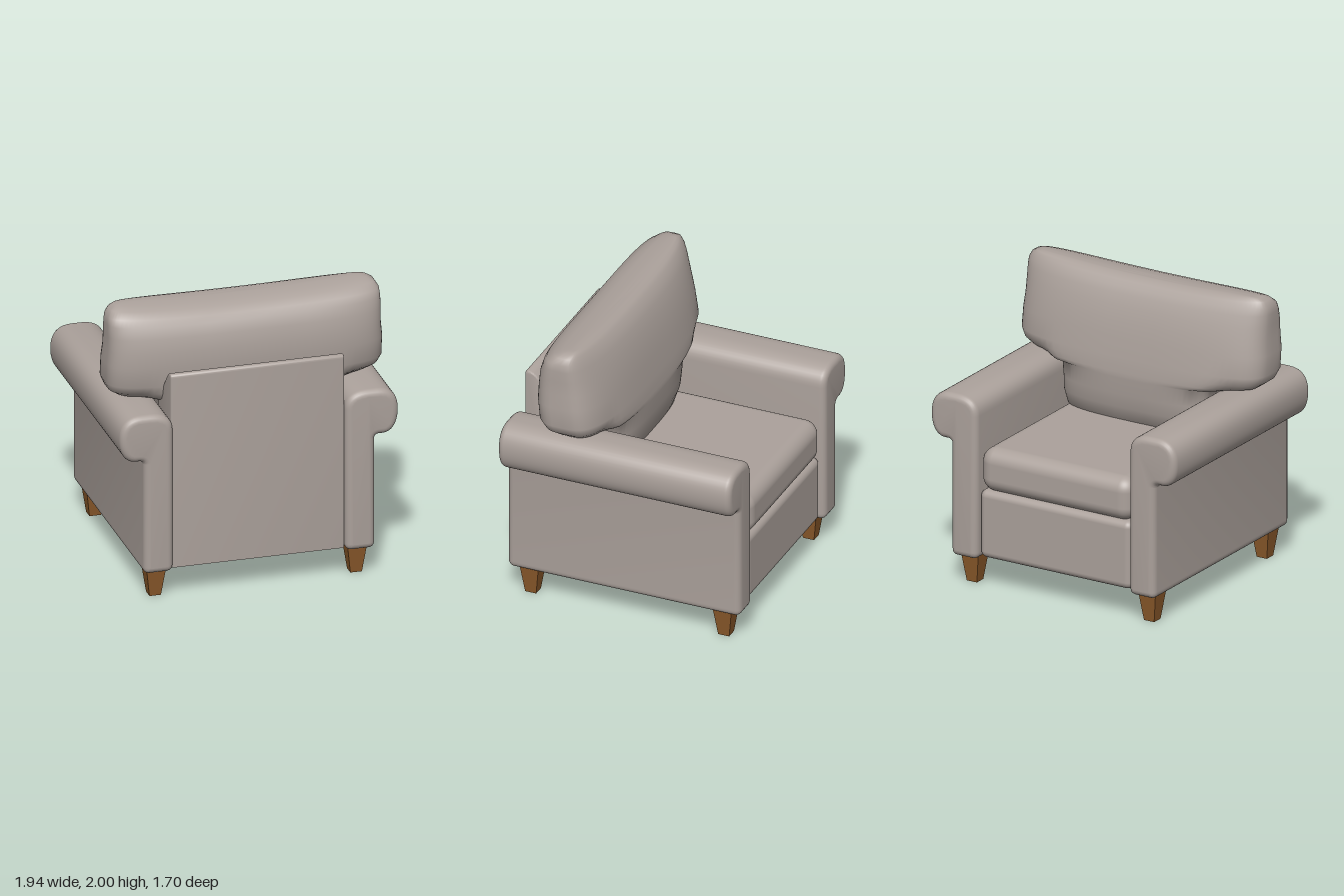
import * as THREE from 'three';
import { toCreasedNormals } from 'three/addons/utils/BufferGeometryUtils.js';
import { RoundedBoxGeometry } from 'three/addons/geometries/RoundedBoxGeometry.js';

const fabric = new THREE.MeshStandardMaterial({ color: 0xaba19b });
fabric.name = 'taupe fabric';
const wood = new THREE.MeshStandardMaterial({ color: 0x8b5a2b, flatShading: true });
wood.name = 'brown wood';

function addMesh(parent, name, geometry, material) {
  const mesh = new THREE.Mesh(geometry, material);
  mesh.name = name;
  parent.add(mesh);
  return mesh;
}

// Extrusion with a rounded rim that stays inside the outline, centred on its depth
function padded(shape, length, bevel, segments) {
  const geo = new THREE.ExtrudeGeometry(shape, {
    depth: length - 2 * bevel, bevelThickness: bevel, bevelSize: bevel,
    bevelOffset: -bevel, bevelSegments: segments, curveSegments: 10,
  });
  geo.translate(0, 0, -(length - 2 * bevel) / 2);
  return toCreasedNormals(geo, 0.75);
}

// Upright arm with an outward roll; s is the side
function armShape(s) {
  const p = new THREE.Shape();
  p.moveTo(s * 0.65, 0.2);
  p.lineTo(s * 0.76, 0.2);
  p.quadraticCurveTo(s * 0.805, 0.2, s * 0.805, 0.25);
  p.lineTo(s * 0.805, 0.99);
  p.quadraticCurveTo(s * 0.805, 1.02, s * 0.835, 1.02);
  p.lineTo(s * 0.87, 1.02);
  p.bezierCurveTo(s * 0.94, 1.03, s * 0.97, 1.1, s * 0.97, 1.19);
  p.bezierCurveTo(s * 0.97, 1.29, s * 0.92, 1.35, s * 0.82, 1.35);
  p.lineTo(s * 0.76, 1.35);
  p.bezierCurveTo(s * 0.66, 1.35, s * 0.6, 1.31, s * 0.6, 1.22);
  p.lineTo(s * 0.6, 0.25);
  p.quadraticCurveTo(s * 0.6, 0.2, s * 0.65, 0.2);
  return p;
}

// T-shaped back cushion lofted upward from rounded sections
function backCushionGeometry() {
  // y, half width, front z, rear z
  const rows = [
    [0.95, 0, 0.3, 0.3], [0.95, 0.5, 0.2, 0.45], [1.0, 0.58, 0.14, 0.5], [1.1, 0.6, 0.105, 0.53],
    [1.2, 0.6, 0.09, 0.55], [1.32, 0.61, 0.08, 0.58], [1.335, 0.78, 0.08, 0.6],
    [1.36, 0.88, 0.08, 0.62], [1.4, 0.935, 0.085, 0.635], [1.46, 0.96, 0.09, 0.65],
    [1.6, 0.96, 0.115, 0.66], [1.7, 0.95, 0.135, 0.655], [1.8, 0.95, 0.165, 0.64],
    [1.88, 0.95, 0.195, 0.61], [1.93, 0.945, 0.22, 0.58], [1.97, 0.92, 0.25, 0.52],
    [1.99, 0.88, 0.275, 0.46], [2.0, 0.83, 0.31, 0.39], [2.0, 0.45, 0.325, 0.37], [2.0, 0, 0.35, 0.35],
  ];
  const n = 72, pos = [], index = [];
  for (const [y, w, zf, zb] of rows) {
    const mid = (zf + zb) / 2;
    for (let i = 0; i < n; i++) {
      const a = (i / n) * Math.PI * 2, c = Math.cos(a), s = Math.sin(a);
      const e = s < 0 ? 2 / 3 : 0.5;
      const x = w * Math.sign(c) * Math.abs(c) ** e;
      let z = mid + ((zb - zf) / 2) * Math.sign(s) * Math.abs(s) ** e;
      // Thin the underside of the wings so they round off above the arms
      const wing = THREE.MathUtils.smoothstep(Math.abs(x), 0.58, 0.74);
      const rise = THREE.MathUtils.clamp((y - 1.33) / 0.15, 0, 1);
      const round = Math.sqrt(1 - (1 - rise) ** 2);
      z = mid + (z - mid) * (1 - wing * (1 - round) * 0.55);
      // Slight sag along the top edge
      const sag = 0.022 * THREE.MathUtils.smoothstep(y, 1.8, 2) * (1 - Math.min(1, (x / 0.88) ** 2));
      pos.push(x, y - sag, z);
    }
  }
  for (let r = 0; r < rows.length - 1; r++) {
    for (let i = 0; i < n; i++) {
      const a = r * n + i, b = r * n + ((i + 1) % n), d = a + n, c = b + n;
      index.push(a, d, b, d, c, b);
    }
  }
  const geo = new THREE.BufferGeometry();
  geo.setAttribute('position', new THREE.Float32BufferAttribute(pos, 3));
  geo.setIndex(index);
  geo.computeVertexNormals();
  return geo;
}

export function createModel() {
  const chair = new THREE.Group();
  chair.name = 'armchair';

  // Rolled arms
  for (const s of [-1, 1]) {
    addMesh(chair, s > 0 ? 'leftArm' : 'rightArm', padded(armShape(s), 1.7, 0.045, 5), fabric);
  }

  // Wedge-topped back panel, drawn with z running to the left
  const wedge = new THREE.Shape();
  wedge.moveTo(-0.81, 0.215);
  wedge.lineTo(-0.81, 1.59);
  wedge.quadraticCurveTo(-0.81, 1.615, -0.785, 1.615);
  wedge.quadraticCurveTo(-0.745, 1.61, -0.71, 1.57);
  wedge.lineTo(-0.51, 1.33);
  wedge.lineTo(-0.51, 0.215);
  const back = addMesh(chair, 'backPanel', padded(wedge, 1.21, 0.012, 3), fabric);
  back.rotation.y = Math.PI / 2;
  back.position.x = -0.005;

  // Seat base and seat cushion
  const base = addMesh(chair, 'seatBase', new RoundedBoxGeometry(1.2, 0.485, 1.34, 5, 0.05), fabric);
  base.position.set(0, 0.4575, -0.15);
  const seat = addMesh(chair, 'seatCushion', new RoundedBoxGeometry(1.2, 0.31, 1.25, 6, 0.1), fabric);
  seat.position.set(0, 0.845, -0.205);

  // Back cushion
  addMesh(chair, 'backCushion', backCushionGeometry(), fabric);

  // Tapered square legs
  const legGeo = new THREE.CylinderGeometry(0.07 * Math.SQRT2, 0.04 * Math.SQRT2, 0.22, 4);
  legGeo.rotateY(Math.PI / 4);
  for (const x of [-0.7, 0.7]) {
    for (const z of [-0.705, 0.705]) {
      addMesh(chair, z < 0 ? 'frontLeg' : 'rearLeg', legGeo, wood).position.set(x, 0.11, z);
    }
  }
  return chair;
}
